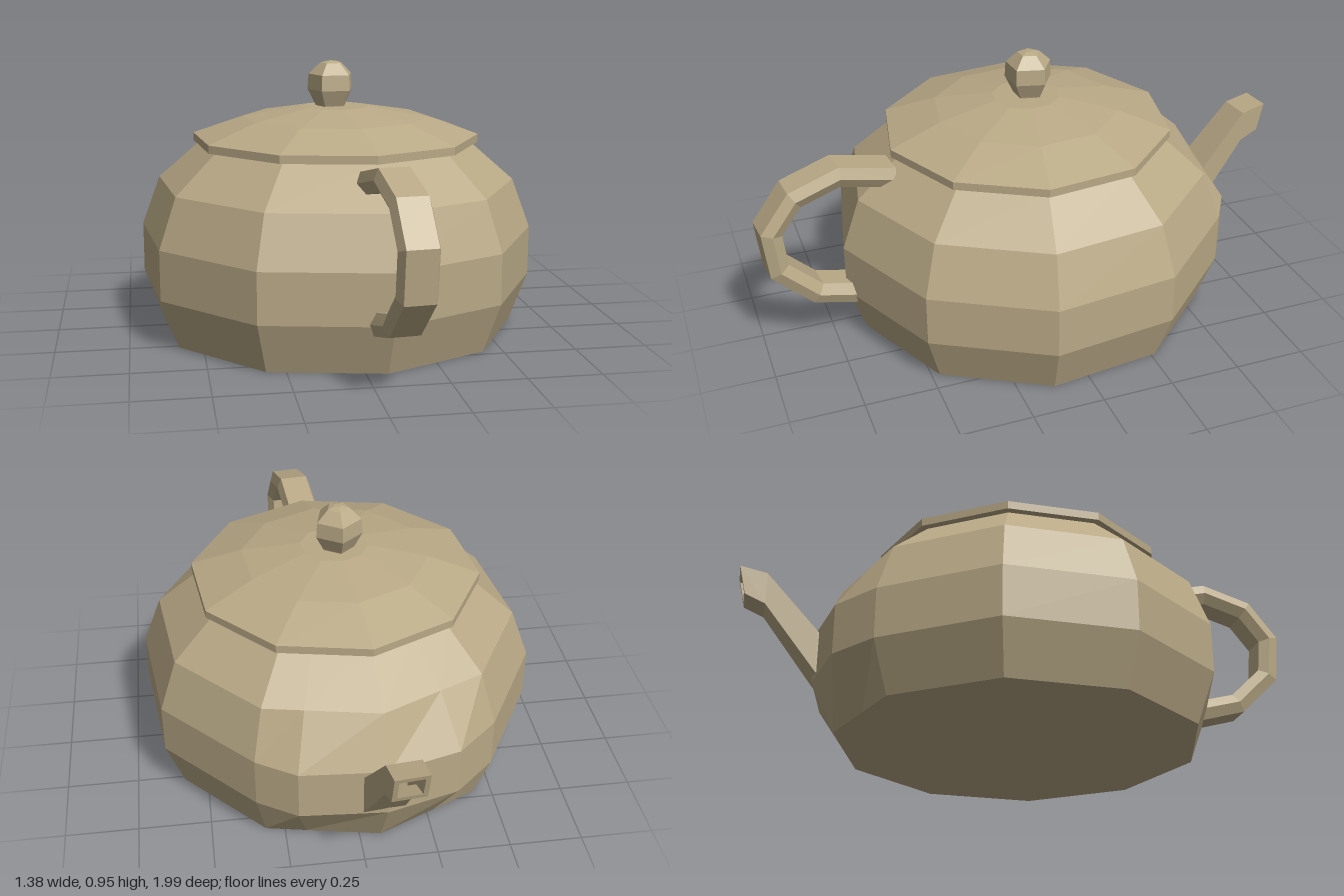
import * as THREE from 'three';

const material = new THREE.MeshStandardMaterial({ color: 0xb9a986, flatShading: true });
const rad = THREE.MathUtils.degToRad;

// Skin a list of closed rings (counter-clockwise seen from ahead) and cap both ends.
function loft(name, rings) {
  const pos = [];
  const tri = (...pts) => pts.forEach((p) => pos.push(p.x, p.y, p.z));
  const n = rings[0].length;
  for (let i = 0; i < rings.length - 1; i++) {
    for (let j = 0; j < n; j++) {
      const k = (j + 1) % n;
      const a = rings[i][j], b = rings[i][k], c = rings[i + 1][k], d = rings[i + 1][j];
      tri(a, b, c);
      tri(a, c, d);
    }
  }
  const cap = (ring, flip) => {
    const mid = ring.reduce((s, p) => s.add(p), new THREE.Vector3()).divideScalar(n);
    ring.forEach((p, j) => {
      const q = ring[(j + 1) % n];
      if (flip) tri(mid, q, p);
      else tri(mid, p, q);
    });
  };
  cap(rings[0], true);
  cap(rings[rings.length - 1], false);
  const geometry = new THREE.BufferGeometry();
  geometry.setAttribute('position', new THREE.Float32BufferAttribute(pos, 3));
  geometry.computeVertexNormals();
  const mesh = new THREE.Mesh(geometry, material);
  mesh.name = name;
  return mesh;
}

// Regular horizontal rings from a [radius, height] profile
const polar = (deg, r, y) => new THREE.Vector3(r * Math.cos(rad(deg)), y, -r * Math.sin(rad(deg)));
const turned = (profile, sides, start) => profile.map(([r, y]) =>
  Array.from({ length: sides }, (_, k) => polar(start + (360 / sides) * k, r, y)));

const START = -11.5; // turn of the ten-sided pot

// Ten-sided body, with two extra columns that swell around the spout
function makeBody() {
  const profile = [[0.64, 0, 0], [0.705, 0.175, 1], [0.705, 0.35, 1], [0.64, 0.525, 0], [0.485, 0.66, 0]];
  const rings = profile.map(([r, y, swell]) => {
    const ring = [];
    for (let k = 0; k < 10; k++) {
      const deg = START + 36 * k;
      ring.push(polar(deg, k === 3 && swell ? 0.725 : r, y));
      const extra = { 2: [73, 5.5], 3: [117, 2.5] }[k];
      if (extra) {
        const chord = (r * Math.cos(rad(18))) / Math.cos(rad(extra[1]));
        ring.push(polar(extra[0], swell ? 0.73 : chord, y));
      }
    }
    return ring;
  });
  return loft('body', rings);
}

// Hexagonal bar swept along a path in the z-y plane
function makeHandle() {
  const path = [[0.52, 0.603], [0.71, 0.649], [0.868, 0.6], [0.955, 0.487], [0.94, 0.343], [0.815, 0.22], [0.66, 0.177]];
  const section = [[0.066, 0], [0.051, 0.038], [-0.051, 0.038], [-0.066, 0], [-0.046, -0.037], [0.046, -0.037]];
  const rings = path.map(([z, y], i) => {
    const before = path[Math.max(i - 1, 0)], after = path[Math.min(i + 1, path.length - 1)];
    const t = new THREE.Vector2(after[0] - before[0], after[1] - before[1]).normalize();
    return section.map(([u, v]) => new THREE.Vector3(u, y + v * t.x, z - v * t.y));
  });
  return loft('handle', rings);
}

// Square spout with a bent, hollow tip: [half width, bottom reach, bottom y, top reach, top y]
function makeSpout() {
  const stations = [
    [0.072, 0.64, 0.11, 0.62, 0.25],
    [0.07, 0.72, 0.19, 0.72, 0.34],
    [0.058, 0.905, 0.43, 0.905, 0.546],
    [0.057, 0.975, 0.46, 1.0, 0.565],
    [0.041, 0.979, 0.476, 0.996, 0.549],
    [0.041, 0.905, 0.45, 0.905, 0.526],
    [0.041, 0.82, 0.34, 0.82, 0.42],
  ];
  const rings = stations.map(([w, br, by, tr, ty]) => [
    new THREE.Vector3(w, by, -br), new THREE.Vector3(-w, by, -br),
    new THREE.Vector3(-w, ty, -tr), new THREE.Vector3(w, ty, -tr),
  ]);
  return loft('spout', rings);
}

export function createModel() {
  const group = new THREE.Group();
  group.name = 'teapot';
  group.add(makeBody());

  // Lid with a short upright rim
  const lid = [[0.45, 0.66], [0.512, 0.66], [0.512, 0.688], [0.33, 0.75], [0.12, 0.787]];
  group.add(loft('lid', turned(lid, 10, START)));

  // Five-sided knob
  const knob = loft('knob', turned(
    [[0.055, 0.775], [0.058, 0.79], [0.086, 0.845], [0.082, 0.9], [0.04, 0.94], [0.015, 0.947]], 5, 22));
  knob.position.set(-0.01, 0, -0.015);
  group.add(knob);

  // Handle and spout share one slightly turned plane
  const fittings = new THREE.Group();
  fittings.name = 'handleAndSpout';
  fittings.rotation.y = 0.097;
  fittings.add(makeHandle(), makeSpout());
  group.add(fittings);
  return group;
}
